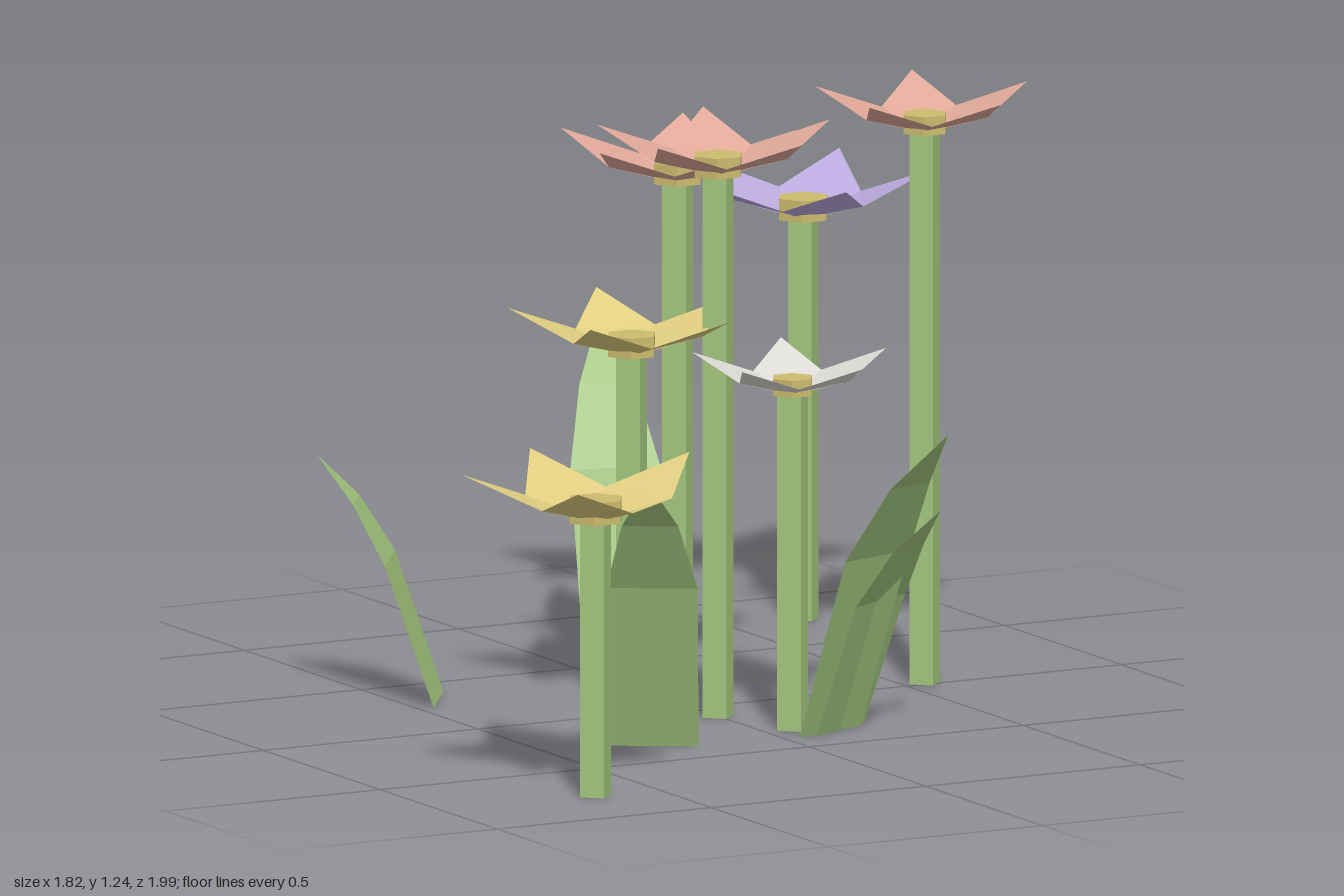
import * as THREE from 'three';

const mat = (name, color, extra = {}) => {
  const m = new THREE.MeshStandardMaterial({ color, flatShading: true, ...extra });
  m.name = name;
  return m;
};
const open = { side: THREE.DoubleSide };

// Builds a strip from rows of [left, right] points, two triangles per step
function strip(rows) {
  const pos = [];
  for (let i = 0; i + 1 < rows.length; i++) {
    const [a, b] = rows[i], [c, d] = rows[i + 1];
    pos.push(...a, ...b, ...d);
    if (c !== d) pos.push(...a, ...d, ...c);
  }
  const g = new THREE.BufferGeometry();
  g.setAttribute('position', new THREE.Float32BufferAttribute(pos, 3));
  g.computeVertexNormals();
  return g;
}

// Unit petal pointing along +x: narrow base, wide shoulder, pointed raised tip
function petalGeometry() {
  const tip = [1, 0.37, 0];
  return strip([
    [[0.04, 0, -0.05], [0.04, 0, 0.05]],
    [[0.46, 0.14, -0.335], [0.46, 0.14, 0.335]],
    [tip, tip],
  ].map(([l, r]) => [r === l ? tip : r, l]));
}

// Leaf blade bending outward along +z as it rises
function leafGeometry(height, lean) {
  const rows = [[0, 0, 0.09], [0.58, 0.4, 0.094], [0.82, 0.68, 0.058], [1, 1, 0]];
  return strip(rows.map(([y, z, w]) => {
    const l = [w, y * height, z * lean];
    return [l, w ? [-w, y * height, z * lean] : l];
  }));
}

export function createModel() {
  const root = new THREE.Group();
  root.name = 'flowerPatch';
  const stemMat = mat('stemGreen', 0xa3c67e);
  const leafMat = mat('leafGreen', 0xa0c47c, open);
  const discMat = mat('discYellow', 0xcdbc6e);
  const petalMats = {
    yellow: mat('petalYellow', 0xe0ce80, open),
    pink: mat('petalPink', 0xe0a898, open),
    white: mat('petalWhite', 0xdcdad4, open),
    purple: mat('petalPurple', 0xbcaade, open),
  };
  const petalGeo = petalGeometry();

  const add = (parent, name, geo, material) => {
    const m = new THREE.Mesh(geo, material);
    m.name = name;
    parent.add(m);
    return m;
  };

  // Flowers: x, z, stem height, head radius, first petal angle (degrees), colour
  const flowers = [
    [-0.645, 0.77, 0.575, 0.28, -90, 'yellow'],
    [-0.18, 0.07, 0.765, 0.253, -78, 'yellow'],
    [0, 0.11, 1.13, 0.253, 3.6, 'pink'],
    [0.55, -0.015, 1.15, 0.23, 4, 'pink'],
    [0.065, 0.31, 0.70, 0.21, 4, 'white'],
    [0.363, -0.73, 0.945, 0.256, 13, 'pink'],
    [0.675, -0.765, 0.837, 0.262, 27, 'purple'],
  ];
  for (const [x, z, h, r, angle, colour] of flowers) {
    const flower = new THREE.Group();
    flower.name = colour + 'Flower';
    flower.position.set(x, 0, z);
    root.add(flower);

    // Four-sided stem
    add(flower, 'stem', new THREE.CylinderGeometry(0.036, 0.036, h + 0.01, 4), stemMat)
      .position.y = (h + 0.01) / 2;

    // Six-sided centre
    const disc = add(flower, 'disc', new THREE.CylinderGeometry(r * 0.215, r * 0.215, r * 0.17, 6), discMat);
    disc.position.y = h + r * 0.075;
    disc.rotation.y = Math.PI / 6;

    // Ring of five petals
    for (let i = 0; i < 5; i++) {
      const petal = add(flower, 'petal', petalGeo, petalMats[colour]);
      petal.position.y = h;
      petal.scale.setScalar(r);
      petal.rotation.y = -THREE.MathUtils.degToRad(angle + i * 72);
    }
  }

  // Leaves: base x, base z, tip x, tip z, height
  const leaves = [
    [-0.415, -0.325, -0.62, -0.468, 0.505],
    [-0.273, 0.34, -0.43, 0.6, 0.605],
    [0.118, -0.495, 0.22, -0.81, 0.66],
    [0.12, 0.37, 0.22, 0.69, 0.66],
    [0.15, 0.36, 0.267, 0.572, 0.48],
  ];
  for (const [x, z, tx, tz, h] of leaves) {
    const leaf = add(root, 'leaf', leafGeometry(h, Math.hypot(tx - x, tz - z)), leafMat);
    leaf.position.set(x, 0, z);
    leaf.rotation.y = Math.atan2(tx - x, tz - z);
  }
  return root;
}
